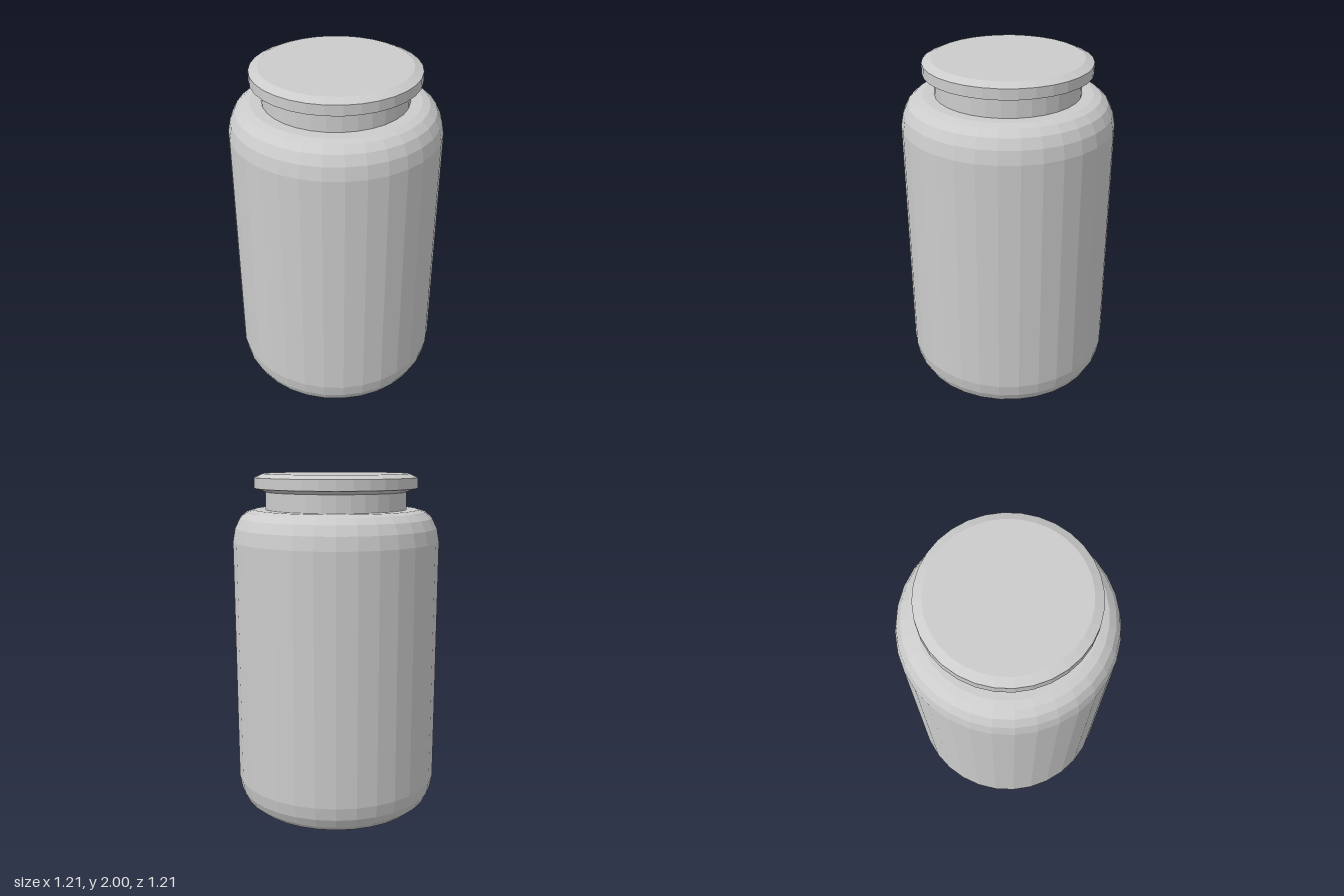
import * as THREE from 'three';

const SIDES = 32;

// Turned, faceted part from [radius, height] pairs, listed bottom to top
function turned(name, profile) {
  const points = profile.map(([r, y]) => new THREE.Vector2(r, y));
  const material = new THREE.MeshStandardMaterial({ color: 0xcccccc, flatShading: true });
  const mesh = new THREE.Mesh(new THREE.LatheGeometry(points, SIDES), material);
  mesh.name = name;
  return mesh;
}

export function createModel() {
  const jar = new THREE.Group();
  jar.name = 'jar';

  // Jar body: straight wall with the same rounding at base and shoulder
  const height = 1.797;
  const corner = [[0.478, 0], [0.522, 0.013], [0.562, 0.048], [0.59, 0.104], [0.604, 0.18]];
  const shoulder = corner.map(([r, y]) => [r, height - y]).reverse();
  jar.add(turned('body', [[0, 0], ...corner, ...shoulder, [0, height]]));

  // Stopper: neck, overhanging rim and bevelled flat top
  jar.add(turned('lid', [
    [0, 1.79], [0.412, 1.79], [0.412, 1.897], [0.475, 1.918],
    [0.475, 1.978], [0.425, 2], [0, 2],
  ]));

  return jar;
}
